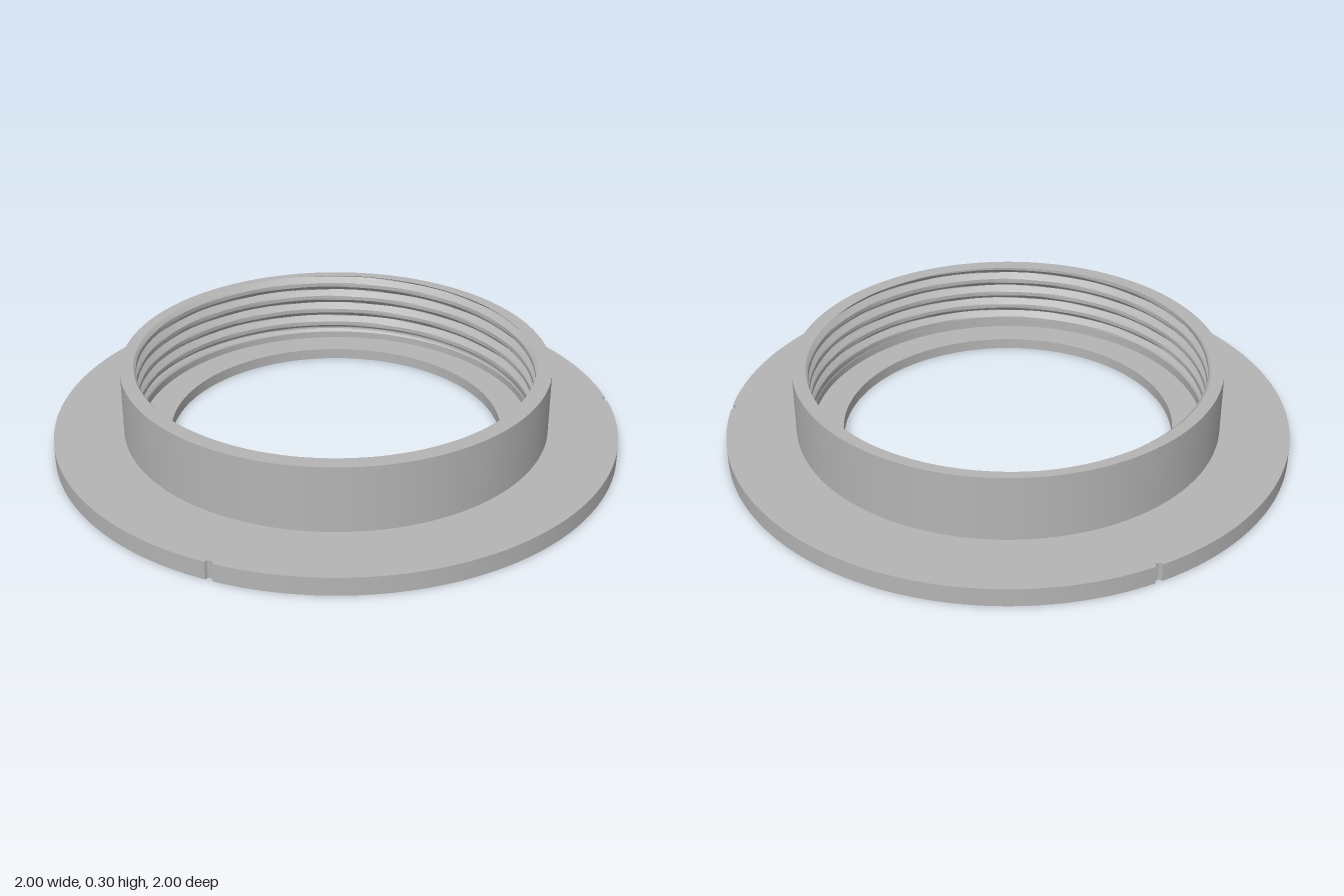
import * as THREE from 'three';
import { mergeGeometries, toCreasedNormals } from 'three/addons/utils/BufferGeometryUtils.js';
import { ParametricGeometry } from 'three/addons/geometries/ParametricGeometry.js';

const TAU = Math.PI * 2;
const SEG = 180;
const R = { collar: 0.755, bore: 0.7, hole: 0.59, grooveIn: 0.63, grooveOut: 0.69 };
const Y = { lip: 0.04, flange: 0.065, top: 0.3, groove: 0.02 };

// Sharp-edged lathe: every profile segment becomes its own band.
function bands(profile, segments = SEG) {
  const parts = [];
  for (let i = 0; i < profile.length - 1; i++) {
    const pair = [profile[i], profile[i + 1]].map(([r, y]) => new THREE.Vector2(r, y));
    parts.push(new THREE.LatheGeometry(pair, segments));
  }
  return mergeGeometries(parts);
}

// Flange outline: a circle with three small round notches.
function flangeOutline() {
  const points = [];
  const origin = new THREE.Vector2();
  for (let k = 0; k < 3; k++) {
    const turn = (k * TAU) / 3;
    for (let i = 0; i <= 8; i++) {
      const t = (i / 8) * Math.PI;
      points.push(new THREE.Vector2(1 - 0.013 * Math.sin(t), -0.013 * Math.cos(t)).rotateAround(origin, turn));
    }
    for (let i = 1; i < 80; i++) {
      const a = turn + (i / 240) * TAU;
      points.push(new THREE.Vector2(Math.cos(a), Math.sin(a)));
    }
  }
  return points;
}

function circlePath(x, y, r, n) {
  const points = [];
  for (let i = 0; i < n; i++) {
    const a = (i / n) * TAU;
    points.push(new THREE.Vector2(x + r * Math.cos(a), y + r * Math.sin(a)));
  }
  return new THREE.Path(points);
}

// Radius of the helical internal thread at an angle and height.
function threadRadius(angle, y) {
  const turns = y / 0.056 + angle / TAU + 0.42;
  const f = turns - Math.floor(turns);
  const cut = Math.max(0, 1 - Math.abs(f - 0.5) / 0.35);
  const runOut = THREE.MathUtils.clamp((y - Y.flange) / 0.02, 0, 1);
  return R.bore + 0.022 * cut * runOut;
}

export function createModel() {
  const model = new THREE.Group();
  model.name = 'threadedFlange';
  const metal = new THREE.MeshStandardMaterial({ color: 0xb4b4b4 });
  metal.name = 'light grey';
  const add = (name, geometry) => {
    const mesh = new THREE.Mesh(geometry, metal);
    mesh.name = name;
    model.add(mesh);
    return mesh;
  };

  // Blind holes in the underside: six large, two small
  const pockets = [];
  for (let k = 0; k < 6; k++) pockets.push({ name: 'boltPocket', a: (k * TAU) / 6, d: 0.862, r: 0.097, n: 48 });
  for (const a of [-TAU / 12, (5 * TAU) / 12]) pockets.push({ name: 'pinHole', a, d: 0.835, r: 0.025, n: 24 });

  // Flange faces and rim
  const outline = flangeOutline();
  const topShape = new THREE.Shape(outline);
  topShape.holes.push(circlePath(0, 0, R.collar, SEG));
  add('flangeTop', new THREE.ShapeGeometry(topShape).rotateX(-Math.PI / 2).translate(0, Y.flange, 0));

  const underShape = new THREE.Shape(outline);
  underShape.holes.push(circlePath(0, 0, R.grooveOut, SEG));
  for (const { name, a, d, r, n } of pockets) {
    const x = d * Math.cos(a), z = d * Math.sin(a);
    underShape.holes.push(circlePath(x, z, r, n));
    add(name, bands([[0, 0.05], [r, 0.05], [r, 0]], n).translate(x, 0, z));
  }
  add('flangeUnderside', new THREE.ShapeGeometry(underShape).rotateX(Math.PI / 2));

  const count = outline.length;
  const rim = new ParametricGeometry((u, v, target) => {
    const p = outline[Math.round(u * count) % count];
    target.set(p.x, (1 - v) * Y.flange, p.y);
  }, count, 1);
  add('flangeRim', toCreasedNormals(rim, 0.5));

  // Collar outside, inner lip and underside seal groove
  add('collarWall', bands([[R.collar, Y.flange], [R.collar, Y.top]]));
  add('innerLipAndGroove', bands([
    [R.bore, Y.flange], [R.bore, Y.lip], [R.hole, Y.lip], [R.hole, 0],
    [R.grooveIn, 0], [R.grooveIn, Y.groove], [R.grooveOut, Y.groove], [R.grooveOut, 0],
  ]));

  // Threaded bore, and the collar's top edge that meets it
  const thread = new ParametricGeometry((u, v, target) => {
    const a = u * TAU, y = THREE.MathUtils.lerp(Y.flange, Y.top, v), r = threadRadius(a, y);
    target.set(r * Math.cos(a), y, r * Math.sin(a));
  }, SEG, 64);
  add('internalThread', toCreasedNormals(thread, 0.5));

  add('collarTop', new ParametricGeometry((u, v, target) => {
    const a = u * TAU, r = THREE.MathUtils.lerp(threadRadius(a, Y.top), R.collar, v);
    target.set(r * Math.cos(a), Y.top, r * Math.sin(a));
  }, SEG, 1));

  return model;
}
